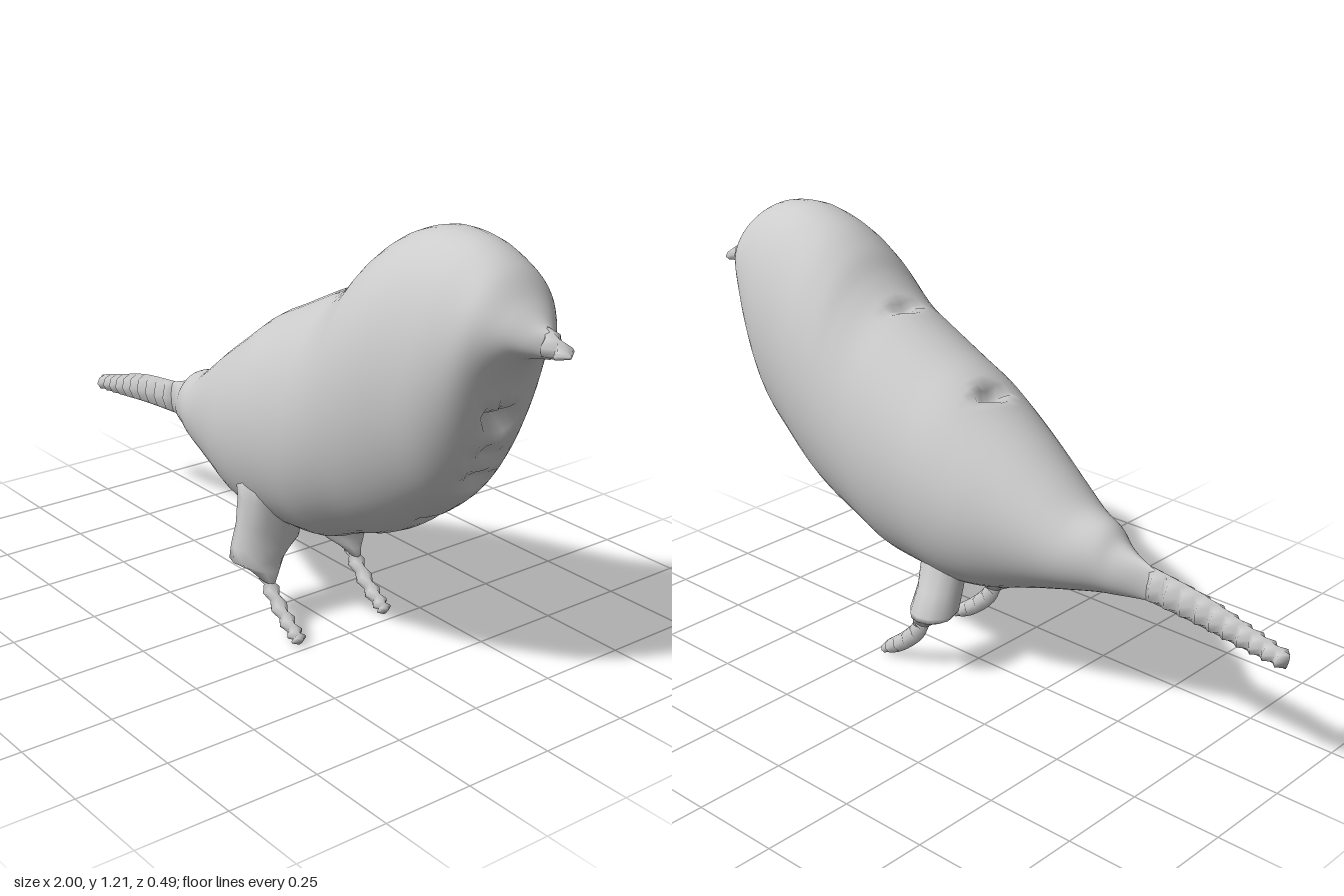
import * as THREE from 'three';

const plumage = new THREE.MeshStandardMaterial({ color: 0xcccccc });
plumage.name = 'plain grey';

// Closed skin over oval sections { x, y, z, a, h, w }: a = heading in the xy plane,
// h = half height across the heading, w = half width along z.
function loft(name, sections, sides, reshape) {
  const pos = [], index = [], n = sections.length;
  for (const s of sections) {
    for (let j = 0; j < sides; j++) {
      const t = (j / sides) * Math.PI * 2, c = Math.cos(t) * s.h;
      const p = new THREE.Vector3(s.x - Math.sin(s.a) * c, s.y + Math.cos(s.a) * c, s.z + Math.sin(t) * s.w);
      if (reshape) reshape(p, s);
      pos.push(p.x, p.y, p.z);
    }
  }
  for (let i = 0; i < n - 1; i++) {
    for (let j = 0; j < sides; j++) {
      const k = (j + 1) % sides;
      const a = i * sides + j, b = a + sides, c = i * sides + k, d = c + sides;
      index.push(a, c, b, c, d, b);
    }
  }
  // end caps
  const first = sections[0], last = sections[n - 1], c0 = n * sides, c1 = c0 + 1, end = (n - 1) * sides;
  pos.push(first.x, first.y, first.z, last.x, last.y, last.z);
  for (let j = 0; j < sides; j++) {
    const k = (j + 1) % sides;
    index.push(c0, k, j, c1, end + j, end + k);
  }
  const g = new THREE.BufferGeometry();
  g.setAttribute('position', new THREE.Float32BufferAttribute(pos, 3));
  g.setIndex(index);
  g.computeVertexNormals();
  const mesh = new THREE.Mesh(g, plumage);
  mesh.name = name;
  return mesh;
}

// Body profile: x, top, bottom, half width
const BODY = [
  [-0.64, 0.48, 0.4, 0.012], [-0.58, 0.495, 0.395, 0.015], [-0.5, 0.525, 0.385, 0.055],
  [-0.45, 0.565, 0.378, 0.08], [-0.37, 0.595, 0.36, 0.115], [-0.28, 0.66, 0.335, 0.147],
  [-0.2, 0.72, 0.31, 0.175], [-0.1, 0.79, 0.28, 0.208], [0, 0.86, 0.265, 0.226],
  [0.1, 0.91, 0.275, 0.234], [0.22, 0.97, 0.29, 0.242], [0.3, 1.01, 0.325, 0.245],
  [0.36, 1.06, 0.35, 0.246], [0.42, 1.125, 0.37, 0.243], [0.5, 1.18, 0.41, 0.235],
  [0.6, 1.213, 0.48, 0.213], [0.69, 1.212, 0.56, 0.192], [0.76, 1.193, 0.69, 0.163],
  [0.82, 1.155, 0.87, 0.13], [0.87, 1.095, 0.95, 0.088], [0.91, 1.055, 0.968, 0.048],
  [0.94, 1.035, 0.973, 0.015],
];
// Small nicks along the back and breast: x, y, depth direction
const NICKS = [
  [-0.05, 0.825, 0.02, -0.05], [0.27, 0.995, 0.01, -0.03], [0.79, 0.79, -0.05, 0.02],
  [0.75, 0.68, -0.03, 0.02], [0.72, 0.61, -0.03, 0.02], [0.57, 0.455, -0.02, 0.03],
  [0.37, 0.35, 0, 0.025], [-0.28, 0.335, 0, 0.04],
];
function nick(p) {
  for (const [x, y, dx, dy] of NICKS) {
    const f = 1 - Math.hypot(p.x - x, p.y - y) / 0.035 - Math.abs(p.z) / 0.09;
    if (f > 0) { p.x += dx * f; p.y += dy * f; }
  }
}

function body() {
  const edge = new THREE.CatmullRomCurve3(BODY.map(([x, t, b]) => new THREE.Vector3(x, t, b)));
  const girth = new THREE.CatmullRomCurve3(BODY.map(([x, , , w]) => new THREE.Vector3(x, w, 0)));
  const steps = (BODY.length - 1) * 6, sections = [];
  edge.curveType = girth.curveType = 'catmullrom';
  for (let i = 0; i <= steps; i++) {
    const p = edge.getPoint(i / steps), w = girth.getPoint(i / steps).y;
    sections.push({ x: p.x, y: (p.y + p.z) / 2, z: 0, a: 0, h: (p.y - p.z) / 2, w: Math.max(w, 0.008) });
  }
  return loft('body', sections, 48, nick);
}

// Ridged limb along a path of [x, y, half height], its width pinching in and out
function ridged(name, path, z, ridges, wide, narrow, sides = 8) {
  const curve = new THREE.CatmullRomCurve3(path.map(p => new THREE.Vector3(...p)));
  const sections = [];
  for (let i = 0; i <= ridges * 2; i++) {
    const u = i / (ridges * 2), p = curve.getPoint(u), d = curve.getTangent(u);
    sections.push({ x: p.x, y: p.y, z, a: Math.atan2(d.y, d.x), h: p.z, w: i % 2 ? wide : narrow });
  }
  return loft(name, sections, sides);
}

// Thigh from stacked rows: y, x back, x front, z inner, z outer
function thigh(name, rows) {
  return loft(name, rows.map(([y, x0, x1, z0, z1]) => ({
    x: (x0 + x1) / 2, y, z: (z0 + z1) / 2, a: -Math.PI / 2,
    h: (x1 - x0) / 2, w: Math.abs(z1 - z0) / 2,
  })), 12);
}

export function createModel() {
  const bird = new THREE.Group();
  bird.name = 'bird';
  bird.add(body());

  // Tail and beak
  bird.add(ridged('tail', [[-1, 0.378, 0.022], [-0.88, 0.4, 0.034], [-0.74, 0.427, 0.045], [-0.58, 0.445, 0.05]],
    0, 10, 0.033, 0.008));
  bird.add(ridged('beak', [[0.92, 1.01, 0.038], [0.96, 1.002, 0.026], [1, 0.992, 0.004]], 0, 2, 0.034, 0.006));

  // Thighs
  bird.add(thigh('rightThigh', [
    [0.46, -0.06, 0.14, 0.06, 0.2], [0.38, -0.03, 0.12, 0.04, 0.205], [0.3, -0.025, 0.105, 0.01, 0.215],
    [0.24, -0.035, 0.1, 0.02, 0.225], [0.2, -0.035, 0.1, 0.07, 0.228], [0.175, 0.01, 0.105, 0.1, 0.19],
    [0.145, 0.06, 0.11, 0.135, 0.165],
  ]));
  bird.add(thigh('leftThigh', [
    [0.42, -0.04, 0.13, -0.02, -0.13], [0.34, -0.025, 0.115, -0.03, -0.145], [0.27, -0.025, 0.1, -0.045, -0.18],
    [0.21, -0.035, 0.1, -0.075, -0.213], [0.19, -0.02, 0.1, -0.085, -0.205], [0.165, 0.03, 0.105, -0.115, -0.175],
    [0.14, 0.065, 0.11, -0.135, -0.16],
  ]));

  // Feet
  for (const [name, z] of [['rightFoot', 0.148], ['leftFoot', -0.147]]) {
    bird.add(ridged(name, [[0.07, 0.17, 0.025], [0.095, 0.12, 0.025], [0.15, 0.067, 0.024], [0.2, 0.033, 0.021],
      [0.226, 0.018, 0.012]], z, 6, 0.025, 0.009));
  }
  return bird;
}
